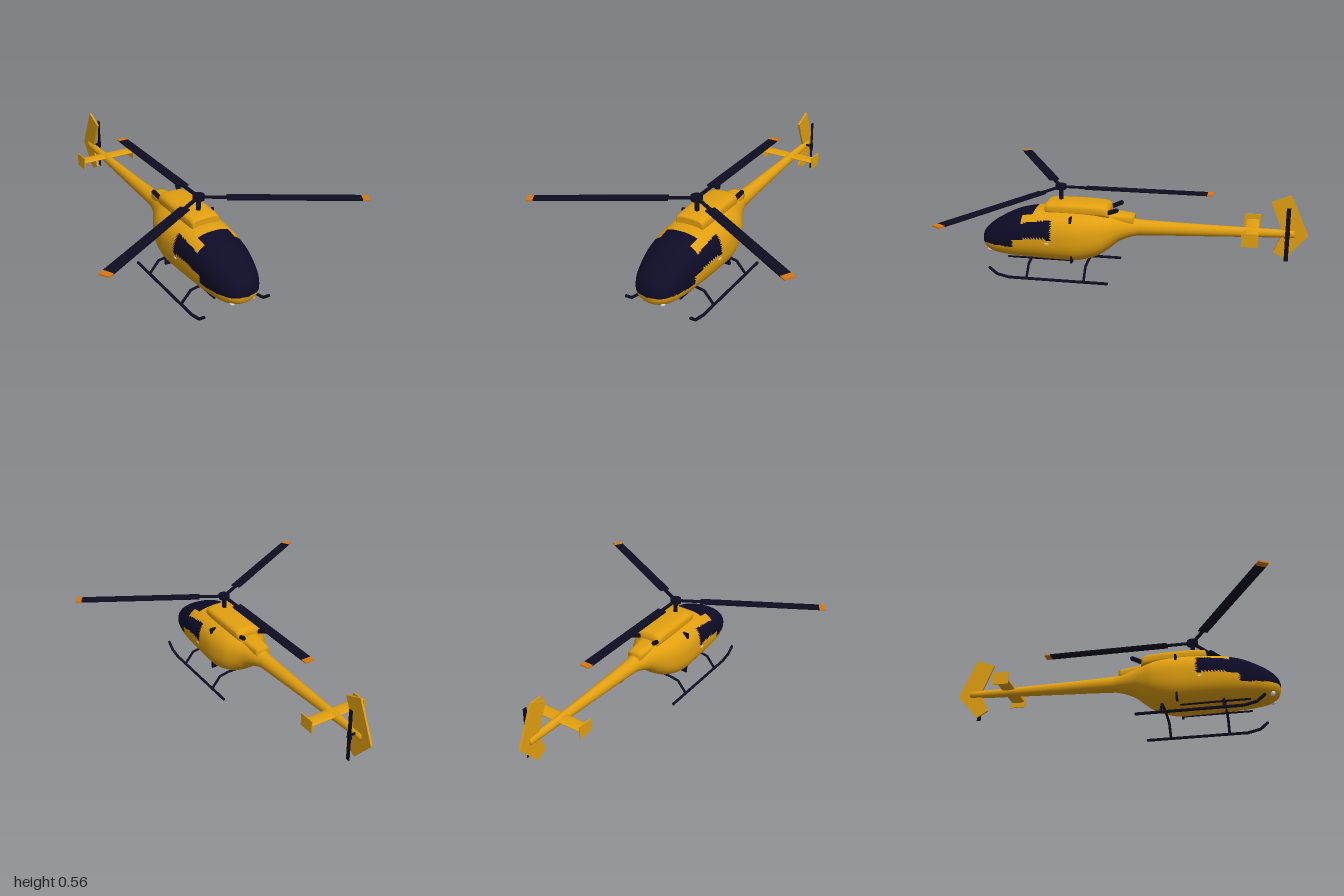
import * as THREE from 'three';

const mat = (name, color) => {
  const m = new THREE.MeshStandardMaterial({ color });
  m.name = name;
  return m;
};

export function createModel() {
  const yellow = mat('yellow paint', 0xe2a010);
  const glass = mat('dark glass', 0x0d0b26);
  const black = mat('black metal', 0x0e0d20);
  const orange = mat('orange blade tip', 0xd9780f);
  const white = mat('white lamp', 0xe4e4ea);
  const model = new THREE.Group();
  model.name = 'helicopter';

  const add = (name, geo, material, x = 0, y = 0, z = 0, parent = model) => {
    const mesh = new THREE.Mesh(geo, material);
    mesh.name = name;
    mesh.position.set(x, y, z);
    parent.add(mesh);
    return mesh;
  };
  const box = (w, h, d) => new THREE.BoxGeometry(w, h, d);

  // Round bar through a list of points, with straight runs and round joints
  const bar = (name, pts, r, material) => {
    const path = new THREE.CurvePath();
    const v = pts.map(p => new THREE.Vector3(...p));
    for (let i = 1; i < v.length; i++) path.add(new THREE.LineCurve3(v[i - 1], v[i]));
    const group = new THREE.Group();
    group.name = name;
    path.curves.forEach(c => add(name + ' tube', new THREE.TubeGeometry(c, 1, r, 10), material, 0, 0, 0, group));
    v.forEach(p => add(name + ' joint', new THREE.SphereGeometry(r, 10, 8), material, p.x, p.y, p.z, group));
    model.add(group);
  };

  // Loft of superellipse rings; rows are [z, bottom, top, half width, exponent]
  const loft = (rows, isGlass, steps = 8, seg = 96) => {
    const pos = [], rings = [];
    const spline = (a, b, c, d, t) =>
      b + 0.5 * t * (c - a + t * (2 * a - 5 * b + 4 * c - d + t * (3 * (b - c) + d - a)));
    for (let i = 0; i < rows.length - 1; i++) {
      const q = [-1, 0, 1, 2].map(k => rows[THREE.MathUtils.clamp(i + k, 0, rows.length - 1)]);
      for (let s = 0; s < steps; s++) {
        rings.push(rows[0].map((_, k) => spline(q[0][k], q[1][k], q[2][k], q[3][k], s / steps)));
      }
    }
    rings.push(rows[rows.length - 1]);
    // closing rings shrunk to a point
    const cap = r => [r[0], (r[1] + r[2]) / 2, (r[1] + r[2]) / 2, 0, 2];
    rings.unshift(cap(rings[0]));
    rings.push(cap(rings[rings.length - 1]));
    for (const [z, lo, hi, w, n] of rings) {
      for (let j = 0; j < seg; j++) {
        const a = (j / seg) * Math.PI * 2, c = Math.cos(a), s = Math.sin(a);
        pos.push(Math.sign(c) * Math.abs(c) ** (2 / n) * w,
          (lo + hi) / 2 + Math.sign(s) * Math.abs(s) ** (2 / n) * (hi - lo) / 2, z);
      }
    }
    const parts = [[], []];
    const tri = (...t) => {
      const m = k => (pos[t[0] * 3 + k] + pos[t[1] * 3 + k] + pos[t[2] * 3 + k]) / 3;
      parts[isGlass && isGlass(Math.abs(m(0)), m(1), m(2)) ? 1 : 0].push(...t);
    };
    for (let i = 0; i < rings.length - 1; i++) {
      for (let j = 0; j < seg; j++) {
        const a = i * seg + j, c = i * seg + (j + 1) % seg;
        tri(a, a + seg, c);
        tri(a + seg, c + seg, c);
      }
    }
    const g = new THREE.BufferGeometry();
    g.setAttribute('position', new THREE.Float32BufferAttribute(pos, 3));
    g.setIndex(parts.flat());
    g.addGroup(0, parts[0].length, 0);
    g.addGroup(parts[0].length, parts[1].length, 1);
    g.computeVertexNormals();
    return g;
  };

  // Windscreen and side windows, with a painted roof and pillars between them
  const windowRule = (x, y, z) => {
    if (z < 0.525) return false;
    const sill = z > 0.77 ? 0.188 : z > 0.67 ? 0.26 - (z - 0.67) * 0.25 : 0.26;
    if (y < sill) return false;
    return z > 0.72 || x > 0.142 || (z > 0.65 && x < 0.095);
  };
  add('fuselage and tail boom', loft([
    [1.0, 0.185, 0.215, 0.02, 2.1], [0.985, 0.145, 0.25, 0.07, 2.2], [0.95, 0.12, 0.285, 0.105, 2.3],
    [0.89, 0.105, 0.325, 0.133, 2.4], [0.78, 0.097, 0.378, 0.158, 2.5], [0.65, 0.093, 0.408, 0.171, 2.5],
    [0.5, 0.09, 0.42, 0.178, 2.5], [0.38, 0.092, 0.42, 0.178, 2.5], [0.27, 0.122, 0.415, 0.157, 2.4],
    [0.2, 0.165, 0.4, 0.122, 2.3], [0.13, 0.22, 0.385, 0.083, 2.1], [0.04, 0.255, 0.365, 0.052, 2],
    [-0.05, 0.264, 0.358, 0.044, 2], [-0.4, 0.28, 0.352, 0.032, 2], [-0.92, 0.303, 0.348, 0.018, 2],
  ], windowRule), [yellow, glass]);

  // Engine housing on the roof
  add('engine cowling', loft([
    [0.578, 0.395, 0.44, 0.078, 3], [0.56, 0.385, 0.463, 0.09, 3.2], [0.4, 0.38, 0.468, 0.094, 3.2],
    [0.25, 0.38, 0.464, 0.09, 3.2], [0.2, 0.375, 0.455, 0.085, 3], [0.185, 0.37, 0.425, 0.07, 3],
  ], null, 4, 48), [yellow, yellow]);
  add('rear cowling', loft([
    [0.22, 0.33, 0.412, 0.066, 3], [0.14, 0.33, 0.405, 0.056, 3], [0.04, 0.33, 0.395, 0.044, 3],
  ], null, 4, 40), [yellow, yellow]);

  // Parts mirrored on both sides
  for (const s of [1, -1]) {
    bar('exhaust pipe', [[s * 0.062, 0.41, 0.2], [s * 0.08, 0.437, 0.135]], 0.014, black);
    bar('skid', [[s * 0.21, 0.013, 0.175], [s * 0.21, 0.013, 0.785], [s * 0.21, 0.03, 0.86], [s * 0.21, 0.068, 0.905]], 0.009, black);
    for (const z of [0.675, 0.318]) {
      bar('skid strut', [[s * 0.21, 0.015, z], [s * 0.15, 0.087, z], [s * 0.09, 0.098, z], [0, 0.1, z]], 0.008, black);
    }
    bar('belly rail', [[s * 0.09, 0.101, 0.42], [s * 0.09, 0.101, 0.82]], 0.006, black);
    add('upper door hinge', box(0.04, 0.035, 0.012), black, s * 0.14, 0.381, 0.405);
    add('lower door hinge', box(0.04, 0.045, 0.012), black, s * 0.138, 0.132, 0.405);
    add('door handle', box(0.008, 0.008, 0.022), white, s * 0.176, 0.236, 0.548);
    add('headlamp', new THREE.SphereGeometry(0.016, 16, 12), white, s * 0.064, 0.136, 0.949);
    add('stabiliser end plate', box(0.006, 0.08, 0.1), yellow, s * 0.179, 0.335, -0.665);
  }

  // Horizontal stabiliser
  const wing = add('horizontal stabiliser', new THREE.CylinderGeometry(0.042, 0.042, 0.356, 24), yellow, 0, 0.335, -0.667);
  wing.rotation.z = Math.PI / 2;
  wing.scale.x = 0.22;

  // Swept tail fin, drawn in the side plane
  const finShape = new THREE.Shape([
    [0.775, 0.515], [0.89, 0.563], [1, 0.317], [0.87, 0.166], [0.8, 0.205], [0.852, 0.33],
  ].map(p => new THREE.Vector2(...p)));
  const fin = new THREE.ExtrudeGeometry(finShape, { depth: 0.012, bevelEnabled: false });
  fin.translate(0, 0, -0.006).rotateY(Math.PI / 2);
  add('tail fin', fin, yellow);

  // Tail rotor on the left side
  const shaft = add('tail rotor shaft', new THREE.CylinderGeometry(0.007, 0.007, 0.05, 12), black, 0.033, 0.333, -0.878);
  shaft.rotation.z = Math.PI / 2;
  add('tail rotor hub', box(0.014, 0.04, 0.028), black, 0.053, 0.333, -0.878);
  add('tail rotor blades', box(0.005, 0.33, 0.025), black, 0.054, 0.335, -0.878);

  // Main rotor: mast, hub and three blades
  const rotor = new THREE.Group();
  rotor.name = 'main rotor';
  rotor.position.set(0, 0.545, 0.495);
  model.add(rotor);
  add('mast', new THREE.CylinderGeometry(0.014, 0.014, 0.1, 16), black, 0, -0.05, 0, rotor);
  add('hub', new THREE.CylinderGeometry(0.034, 0.034, 0.028, 20), black, 0, 0, 0, rotor);
  for (let i = 0; i < 3; i++) {
    const arm = new THREE.Group();
    arm.name = 'rotor blade';
    arm.rotation.y = (i * Math.PI * 2) / 3;
    rotor.add(arm);
    add('blade root', box(0.018, 0.012, 0.16), black, 0, 0, -0.09, arm);
    add('blade', box(0.06, 0.008, 0.74), black, 0, 0, -0.525, arm);
    add('blade tip', box(0.06, 0.008, 0.037), orange, 0, 0, -0.9135, arm);
  }
  return model;
}
